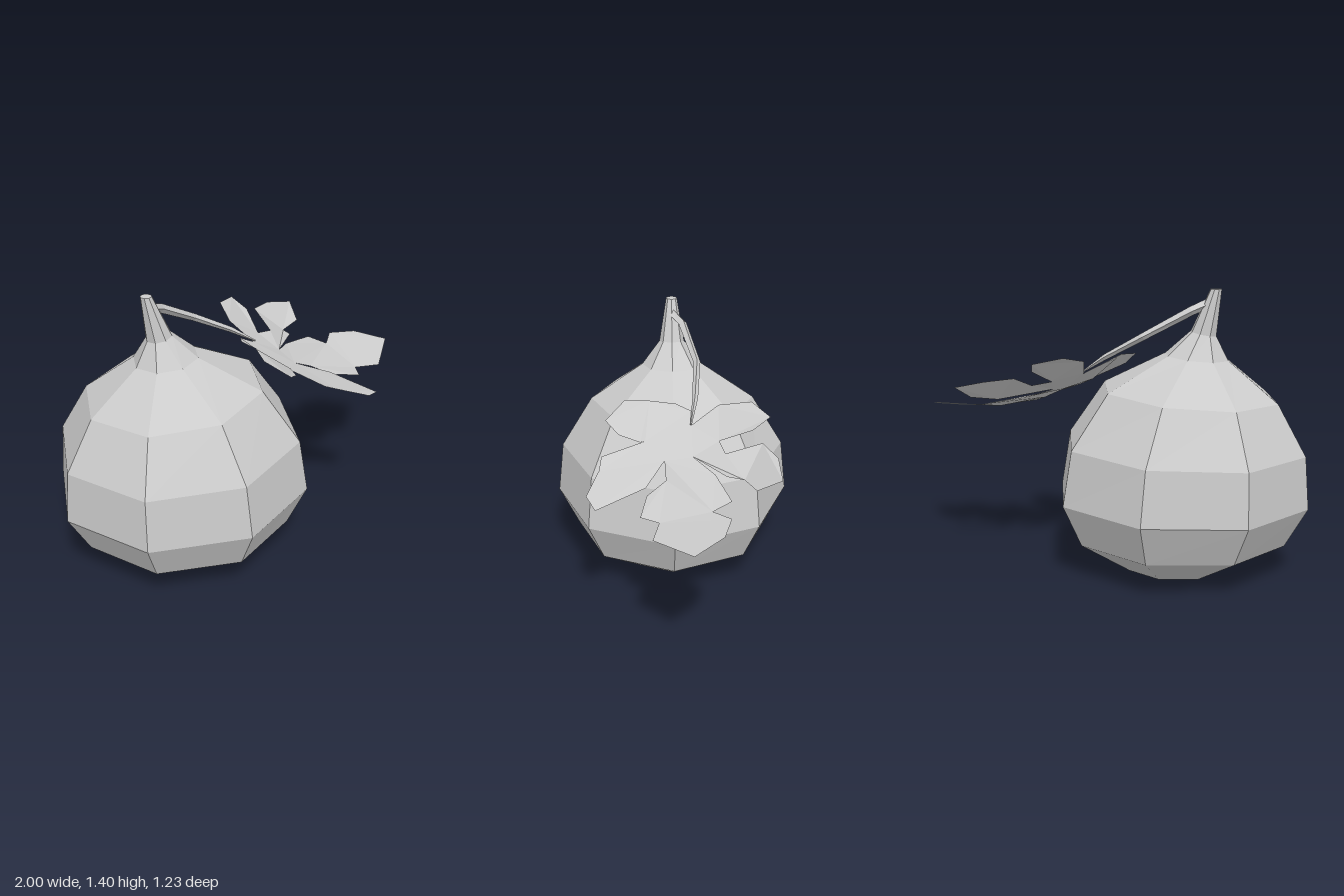
import * as THREE from 'three';

const grey = new THREE.MeshStandardMaterial({ color: 0xcccccc, flatShading: true });
const leafGrey = new THREE.MeshStandardMaterial({ color: 0xcccccc, flatShading: true, side: THREE.DoubleSide });

function mesh(positions, index, material, name) {
  const g = new THREE.BufferGeometry();
  g.setAttribute('position', new THREE.Float32BufferAttribute(positions, 3));
  g.setIndex(index);
  const flat = g.toNonIndexed();
  flat.computeVertexNormals();
  const m = new THREE.Mesh(flat, material);
  m.name = name;
  return m;
}

// Stack of tilted octagonal rings: [centre x, centre y, x radius, z radius, tilt (rise per side)]
function ringStack(rings, name) {
  const n = 8, pos = [], idx = [];
  for (const [cx, cy, rx, rz, tilt] of rings) {
    for (let i = 0; i < n; i++) {
      const a = (i / n) * Math.PI * 2;
      pos.push(cx + rx * Math.cos(a), cy + tilt * Math.cos(a), rz * Math.sin(a));
    }
  }
  for (let r = 0; r < rings.length - 1; r++) {
    for (let i = 0; i < n; i++) {
      const a = r * n + i, b = r * n + (i + 1) % n;
      idx.push(a, a + n, b, b, a + n, b + n);
    }
  }
  // end caps
  const top = (rings.length - 1) * n;
  for (let i = 1; i < n - 1; i++) {
    idx.push(0, i, i + 1);
    idx.push(top, top + i + 1, top + i);
  }
  return mesh(pos, idx, grey, name);
}

// Thin tapering tendril, square in section
function tendril() {
  const path = [
    [-0.49, 1.33, 0.0, 0.024], [-0.42, 1.295, -0.055, 0.022], [-0.2, 1.17, -0.12, 0.018],
    [0.0, 1.06, -0.105, 0.014], [0.13, 0.975, -0.08, 0.004],
  ];
  const n = 4, pos = [], idx = [];
  const up = new THREE.Vector3(0, 1, 0);
  path.forEach(([x, y, z], k) => {
    const p = path[Math.max(k - 1, 0)], q = path[Math.min(k + 1, path.length - 1)];
    const dir = new THREE.Vector3(q[0] - p[0], q[1] - p[1], q[2] - p[2]).normalize();
    const side = new THREE.Vector3().crossVectors(dir, up).normalize();
    const over = new THREE.Vector3().crossVectors(side, dir);
    for (let i = 0; i < n; i++) {
      const a = (i / n) * Math.PI * 2, r = path[k][3];
      const v = new THREE.Vector3(x, y, z)
        .addScaledVector(side, r * Math.cos(a)).addScaledVector(over, r * Math.sin(a));
      pos.push(v.x, v.y, v.z);
    }
  });
  for (let k = 0; k < path.length - 1; k++) {
    for (let i = 0; i < n; i++) {
      const a = k * n + i, b = k * n + (i + 1) % n;
      idx.push(a, b, a + n, b, b + n, a + n);
    }
  }
  return mesh(pos, idx, leafGrey, 'tendril');
}

// Leaf lobe: outline filled as seen from above
function lobe(points, name) {
  const flat = points.map(([x, , z]) => new THREE.Vector2(x, -z));
  const faces = THREE.ShapeUtils.triangulateShape(flat, []);
  // wind every face upwards
  const idx = faces.flatMap(([a, b, c]) => {
    const area = (flat[b].x - flat[a].x) * (flat[c].y - flat[a].y)
      - (flat[b].y - flat[a].y) * (flat[c].x - flat[a].x);
    return area > 0 ? [a, b, c] : [a, c, b];
  });
  return mesh(points.flat(), idx, leafGrey, name);
}

function leaf() {
  const group = new THREE.Group();
  group.name = 'leaf';
  // shared points where neighbouring lobes meet
  const hub = [0.12, 0.97, -0.085];
  const backNotch = [0.24, 0.94, -0.21];
  const rightBack = [0.285, 0.88, -0.085];
  const rightFront = [0.285, 0.86, 0.05];
  const frontNotch = [0.16, 0.905, 0.14];

  group.add(lobe([hub, [0.065, 1.05, -0.215], [0.11, 1.085, -0.37], [0.235, 1.06, -0.45],
    [0.275, 1.01, -0.365], backNotch], 'backLeafLobe'));

  group.add(lobe([hub, backNotch, [0.335, 0.92, -0.235], [0.35, 0.98, -0.405], [0.48, 0.965, -0.465],
    [0.635, 0.93, -0.47], [0.605, 0.865, -0.36], [0.48, 0.855, -0.315], [0.465, 0.865, -0.235],
    rightBack], 'backOuterLeafLobe'));

  // middle lobe: inner half and outer tip
  group.add(lobe([hub, rightBack, [0.405, 0.845, -0.185], [0.6, 0.81, -0.25], [0.655, 0.79, -0.16],
    [0.74, 0.8, -0.24], [0.88, 0.79, -0.2], [0.995, 0.765, -0.065], [0.8, 0.73, 0.11],
    [0.665, 0.74, 0.08], [0.62, 0.743, 0.165], [0.475, 0.775, 0.135], [0.39, 0.81, 0.045],
    rightFront], 'middleLeafLobe'));

  group.add(lobe([hub, rightFront, [0.445, 0.8, 0.14], [0.565, 0.75, 0.37], [0.475, 0.775, 0.415],
    [0.325, 0.83, 0.36], [0.245, 0.866, 0.35], frontNotch], 'frontOuterLeafLobe'));

  group.add(lobe([hub, frontNotch, [0.175, 0.905, 0.165], [0.13, 0.925, 0.27], [0.05, 0.965, 0.335],
    [-0.04, 1.035, 0.24], [-0.005, 1.045, 0.12], [0, 1.03, -0.01], [0.045, 1.01, -0.085]],
  'frontLeafLobe'));
  return group;
}

export function createModel() {
  const model = new THREE.Group();
  model.name = 'gourd';

  // Gourd body, leaning towards -x as it rises into the neck
  model.add(ringStack([
    [-0.33, 0.004, 0.25, 0.24, 0.002],
    [-0.355, 0.17, 0.535, 0.515, 0.005],
    [-0.362, 0.372, 0.638, 0.615, 0.012],
    [-0.375, 0.636, 0.605, 0.585, 0.02],
    [-0.4, 0.893, 0.44, 0.425, 0.032],
    [-0.435, 1.07, 0.158, 0.155, 0.014],
    [-0.467, 1.185, 0.063, 0.064, 0.012],
    [-0.525, 1.398, 0.028, 0.028, 0],
  ], 'body'));

  model.add(tendril());
  model.add(leaf());
  return model;
}
